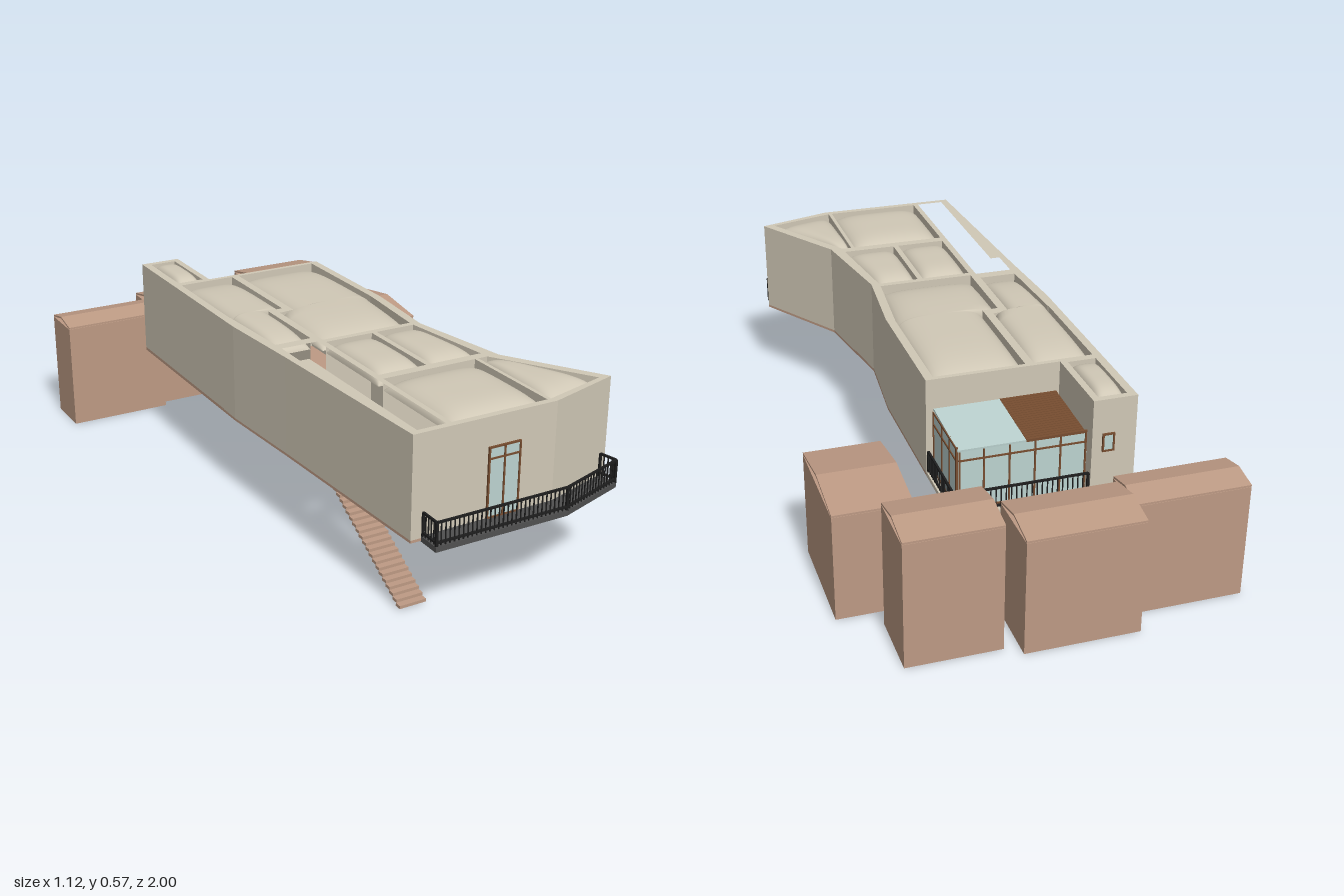
import * as THREE from 'three';
import { mergeGeometries } from 'three/addons/utils/BufferGeometryUtils.js';

const mat = (name, color, side = THREE.FrontSide) => {
  const m = new THREE.MeshStandardMaterial({ color, side });
  m.name = name;
  return m;
};

export function createModel() {
  const model = new THREE.Group();
  model.name = 'raisedHouse';
  const concrete = mat('concrete', 0xd0c8b6);
  const canopy = mat('roofConcrete', 0xd0c8b6, THREE.DoubleSide);
  const clay = mat('clay', 0xbd9a84);
  const glass = mat('glass', 0xbcd3d0);
  const timber = mat('timber', 0x774d30);
  const slabGrey = mat('darkSlab', 0x505050);
  const iron = mat('iron', 0x1e1e1e);

  const add = (name, geo, material) => {
    const mesh = new THREE.Mesh(geo, material);
    mesh.name = name;
    model.add(mesh);
    return mesh;
  };
  // box from its minimum and maximum corners
  const box = (x0, y0, z0, x1, y1, z1) =>
    new THREE.BoxGeometry(x1 - x0, y1 - y0, z1 - z0)
      .translate((x0 + x1) / 2, (y0 + y1) / 2, (z0 + z1) / 2);
  // square bar between two points
  const bar = (a, b, t) => {
    const p = new THREE.Vector3(...a), q = new THREE.Vector3(...b);
    const o = new THREE.Object3D();
    o.position.copy(p).lerp(q, 0.5);
    o.lookAt(q);
    o.updateMatrix();
    return new THREE.BoxGeometry(t, t, p.distanceTo(q)).applyMatrix4(o.matrix);
  };
  // plan outline in (x, z), raised from y0 to y1, with holes
  const plan = (outline, y0, y1, holes = []) => {
    const v = (pts) => pts.map(([x, z]) => new THREE.Vector2(x, -z));
    const shape = new THREE.Shape(v(outline));
    for (const h of holes) shape.holes.push(new THREE.Path(v(h)));
    return new THREE.ExtrudeGeometry(shape, { depth: y1 - y0, bevelEnabled: false })
      .rotateX(-Math.PI / 2).translate(0, y0, 0);
  };

  // room cells: rows of [west point, east point], from back to front
  const row = (z, xw, xe, ze = z) => [[xw, z], [xe, ze]];
  const cells = [
    [row(-0.68, -0.285, -0.2), row(-0.455, -0.285, -0.2)],
    [row(-0.43, -0.285, -0.105), row(-0.075, -0.285, -0.105),
      row(-0.07, -0.283, -0.155), row(0.2, -0.27, -0.155)],
    [row(-0.43, -0.08, 0.195), row(-0.045, -0.08, 0.195),
      row(-0.04, -0.13, 0.195), row(0.23, -0.13, 0.17)],
    [row(0.25, -0.13, 0.025), row(0.545, -0.13, 0.025)],
    [row(0.25, 0.042, 0.17), row(0.545, 0.042, 0.21)],
    [row(0.575, -0.133, 0.17), row(0.91, -0.133, 0.17)],
    [row(0.575, 0.182, 0.212), row(0.91, 0.182, 0.388, 0.855)],
  ];
  const cellOutline = (rows) => [...rows.map((r) => r[0]), ...rows.map((r) => r[1]).reverse()];

  // softly domed roof panel that fills a cell
  const pillow = (rows) => {
    const N = 20, z0 = rows[0][0][1], span = rows[rows.length - 1][0][1] - z0;
    const ease = Array.from({ length: N + 1 }, (_, i) => (1 - Math.cos(Math.PI * i / N)) / 2);
    const rowV = rows.map((r) => (r[0][1] - z0) / span);
    const vs = [...ease, ...rowV.slice(1, -1)].sort((a, b) => a - b);
    const dome = (t) => Math.sqrt(Math.max(0, 1 - (2 * t - 1) ** 4));
    const pos = [], idx = [];
    vs.forEach((v, j) => {
      let k = 0;
      while (k < rows.length - 2 && v > rowV[k + 1]) k++;
      const f = (v - rowV[k]) / (rowV[k + 1] - rowV[k]);
      const [w, e] = [0, 1].map((s) => [0, 1].map((c) =>
        rows[k][s][c] + f * (rows[k + 1][s][c] - rows[k][s][c])));
      ease.forEach((u, i) => {
        pos.push(w[0] + u * (e[0] - w[0]), 0.525 + 0.044 * dome(u) * dome(v), w[1] + u * (e[1] - w[1]));
        if (i < N && j < vs.length - 1) {
          const a = j * (N + 1) + i, b = a + N + 1;
          idx.push(a, b, a + 1, b, b + 1, a + 1);
        }
      });
    });
    const g = new THREE.BufferGeometry();
    g.setAttribute('position', new THREE.Float32BufferAttribute(pos, 3));
    g.setIndex(idx);
    g.computeVertexNormals();
    return g;
  };

  // walls, floor and roof panels
  const outline = [[-0.31, -0.7], [-0.18, -0.7], [-0.18, -0.445], [0.22, -0.445], [0.22, -0.02],
    [0.195, 0.25], [0.25, 0.58], [0.424, 0.862], [0.19, 0.93], [-0.262, 0.93], [-0.292, 0.3], [-0.31, 0]];
  const court = [[-0.268, 0.235], [-0.15, 0.235], [-0.15, 0.91], [-0.238, 0.91], [-0.238, 0.345], [-0.268, 0.345]];
  add('walls', plan(outline, 0.26, 0.56, [...cells.map(cellOutline), court]), concrete);
  cells.forEach((c, i) => add('roofPanel' + (i + 1), pillow(c), canopy));
  const stairWell = [[-0.238, 0.39], [-0.15, 0.39], [-0.15, 0.91], [-0.238, 0.91]];
  add('floor', plan(outline, 0.252, 0.262, [stairWell]), clay);

  // open stair under the courtyard
  const treads = [], steps = 24;
  for (let i = 0; i < steps; i++) {
    const z = 0.405 + i * 0.0182, y = 0.257 - i * 0.0106;
    treads.push(box(-0.235, y - 0.009, z, -0.151, y, z + 0.021));
  }
  add('stairTreads', mergeGeometries(treads), clay);

  // railing along a path of [x, z] points
  const railing = (name, path, y0, y1, gap) => {
    const parts = [];
    for (let i = 0; i < path.length - 1; i++) {
      const [a, b] = [path[i], path[i + 1]];
      const n = Math.max(1, Math.round(Math.hypot(b[0] - a[0], b[1] - a[1]) / gap));
      for (const y of [y0 + 0.012, y1]) parts.push(bar([a[0], y, a[1]], [b[0], y, b[1]], 0.006));
      for (let k = 0; k <= n; k++) {
        const x = a[0] + (b[0] - a[0]) * k / n, z = a[1] + (b[1] - a[1]) * k / n;
        parts.push(bar([x, y0, z], [x, y1, z], k % n ? 0.003 : 0.007));
      }
    }
    add(name, mergeGeometries(parts), iron);
  };

  // front balcony
  add('balconySlab', plan([[-0.23, 0.925], [-0.23, 1], [0.19, 1], [0.416, 0.928], [0.402, 0.862], [0.19, 0.925]],
    0.25, 0.266), slabGrey);
  railing('balconyRailing', [[-0.226, 0.932], [-0.226, 0.996], [0.19, 0.996], [0.412, 0.926], [0.4, 0.872]],
    0.264, 0.334, 0.014);

  // glazed wall plate with frame bars; place(u, y, d) maps along, up and outward
  const glazing = (name, u0, u1, y0, y1, us, ys, place) => {
    const pane = (a, b, c, d, t) => {
      const p = place(a, c, 0), q = place(b, d, t);
      return box(...p.map((v, i) => Math.min(v, q[i])), ...p.map((v, i) => Math.max(v, q[i])));
    };
    add(name + 'Glass', pane(u0, u1, y0, y1, 0.003), glass);
    const w = 0.0025;
    add(name + 'Frame', mergeGeometries([
      ...us.map((u) => pane(u - w, u + w, y0, y1, 0.006)),
      ...ys.map((y) => pane(u0, u1, y - w, y + w, 0.006)),
    ]), timber);
  };
  glazing('frontDoor', -0.028, 0.074, 0.266, 0.474, [-0.026, 0.023, 0.072], [0.268, 0.44, 0.472],
    (u, y, d) => [u, y, 0.93 + d]);
  glazing('backWindow', -0.245, -0.21, 0.4, 0.455, [-0.243, -0.212], [0.402, 0.453],
    (u, y, d) => [u, y, -0.7 - d]);

  // rear terrace with sunroom
  add('terraceFloor', box(-0.18, 0.252, -0.7, 0.22, 0.266, -0.445), concrete);
  glazing('sunroomBack', -0.178, 0.195, 0.266, 0.455, [-0.174, -0.1, -0.026, 0.048, 0.122, 0.192], [0.269, 0.42, 0.453],
    (u, y, d) => [u, y, -0.665 - d]);
  glazing('sunroomSide', -0.665, -0.446, 0.266, 0.46, [-0.663, -0.6, -0.53, -0.45], [0.269, 0.42, 0.457],
    (u, y, d) => [0.195 + d, y, u]);
  const tilt = (z) => 0.47 + (z + 0.45) * 0.06;
  const sheet = add('sunroomRoof', new THREE.BoxGeometry(0.196, 0.006, 0.225), glass);
  sheet.position.set(0.1, tilt(-0.56) - 0.004, -0.56);
  sheet.rotation.x = -0.06;
  const slats = [];
  for (let i = 0; i < 20; i++) {
    const z = -0.672 + i * 0.0113, y = tilt(z);
    slats.push(box(-0.17, y - 0.008, z, 0.002, y, z + 0.0103));
  }
  add('pergolaSlats', mergeGeometries(slats), timber);
  railing('terraceRailing', [[-0.176, -0.693], [0.214, -0.693], [0.214, -0.448]], 0.264, 0.332, 0.015);

  // neighbouring houses: x and z ranges, wall height, ridge height
  const houses = [
    [-0.56, -0.22, -0.92, -0.765, 0.348, 0.371],
    [-0.22, 0.116, -1, -0.795, 0.348, 0.376],
    [0.16, 0.436, -0.963, -0.762, 0.383, 0.41],
    [0.33, 0.558, -0.703, -0.35, 0.328, 0.362],
  ];
  houses.forEach(([x0, x1, z0, z1, wall, ridge], i) => {
    add('neighbourWalls' + (i + 1), box(x0, 0, z0, x1, wall, z1), clay);
    const h = (z1 - z0) / 2, t = 0.006;
    const gable = new THREE.Shape([[-h, wall + 0.001], [0, ridge - t], [h, wall + 0.001],
      [h, wall + 0.001 + t], [0, ridge], [-h, wall + 0.001 + t]].map((p) => new THREE.Vector2(...p)));
    add('neighbourRoof' + (i + 1), new THREE.ExtrudeGeometry(gable, { depth: x1 - x0, bevelEnabled: false })
      .rotateY(Math.PI / 2).translate(x0, 0, (z0 + z1) / 2), clay);
  });

  return model;
}
